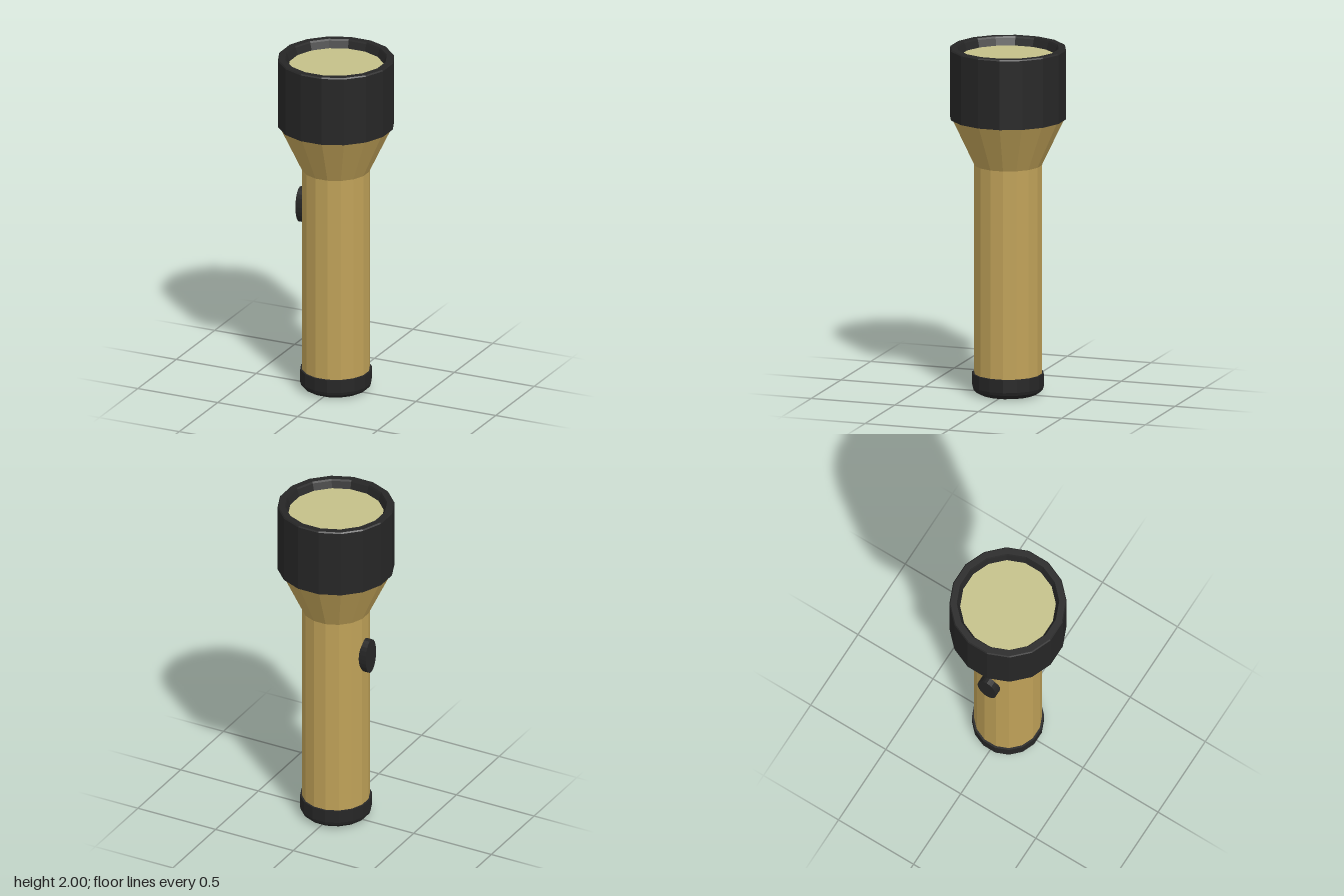
import * as THREE from 'three';

const SIDES = 16;
// Profiles give the distance to the flats; this turns it into the corner radius.
const TO_CORNER = 1 / Math.cos(Math.PI / SIDES);

function material(color) {
  return new THREE.MeshStandardMaterial({ color, flatShading: true });
}

// Faceted part turned around the y axis, profile [radius, y] running from the bottom up and inward
function turned(name, profile, mat) {
  const points = profile.map(([r, y]) => new THREE.Vector2(r * TO_CORNER, y));
  const mesh = new THREE.Mesh(new THREE.LatheGeometry(points, SIDES, Math.PI / SIDES), mat);
  mesh.name = name;
  return mesh;
}

export function createModel() {
  const brass = material(0xbfa158);
  const black = material(0x262626);
  const glass = material(0xc4c089);

  const model = new THREE.Group();
  model.name = 'flashlight';

  // Tail cap with a rounded lower edge
  model.add(turned('tailCap', [
    [0, 0], [0.155, 0], [0.18, 0.012], [0.195, 0.028], [0.2, 0.045], [0.2, 0.12], [0.185, 0.12],
  ], black));

  // Straight barrel and flared neck
  model.add(turned('barrel', [[0.189, 0.1], [0.189, 1.325]], brass));
  model.add(turned('neck', [[0.189, 1.325], [0.317, 1.6]], brass));

  // Head with a bevelled rim and a recess for the lens
  model.add(turned('head', [
    [0.3, 1.595], [0.325, 1.595], [0.325, 1.993], [0.319, 2],
    [0.284, 2], [0.279, 1.99], [0.265, 1.95],
  ], black));
  model.add(turned('lens', [[0.265, 1.95], [0, 1.95]], glass));

  // Oval switch on the right side
  const button = new THREE.Mesh(new THREE.CylinderGeometry(1, 1, 0.065, 24), black);
  button.name = 'switchButton';
  button.rotation.z = Math.PI / 2;
  button.scale.set(0.105, 1, 0.061);
  button.position.set(-0.1925, 1.075, 0);
  model.add(button);

  return model;
}
